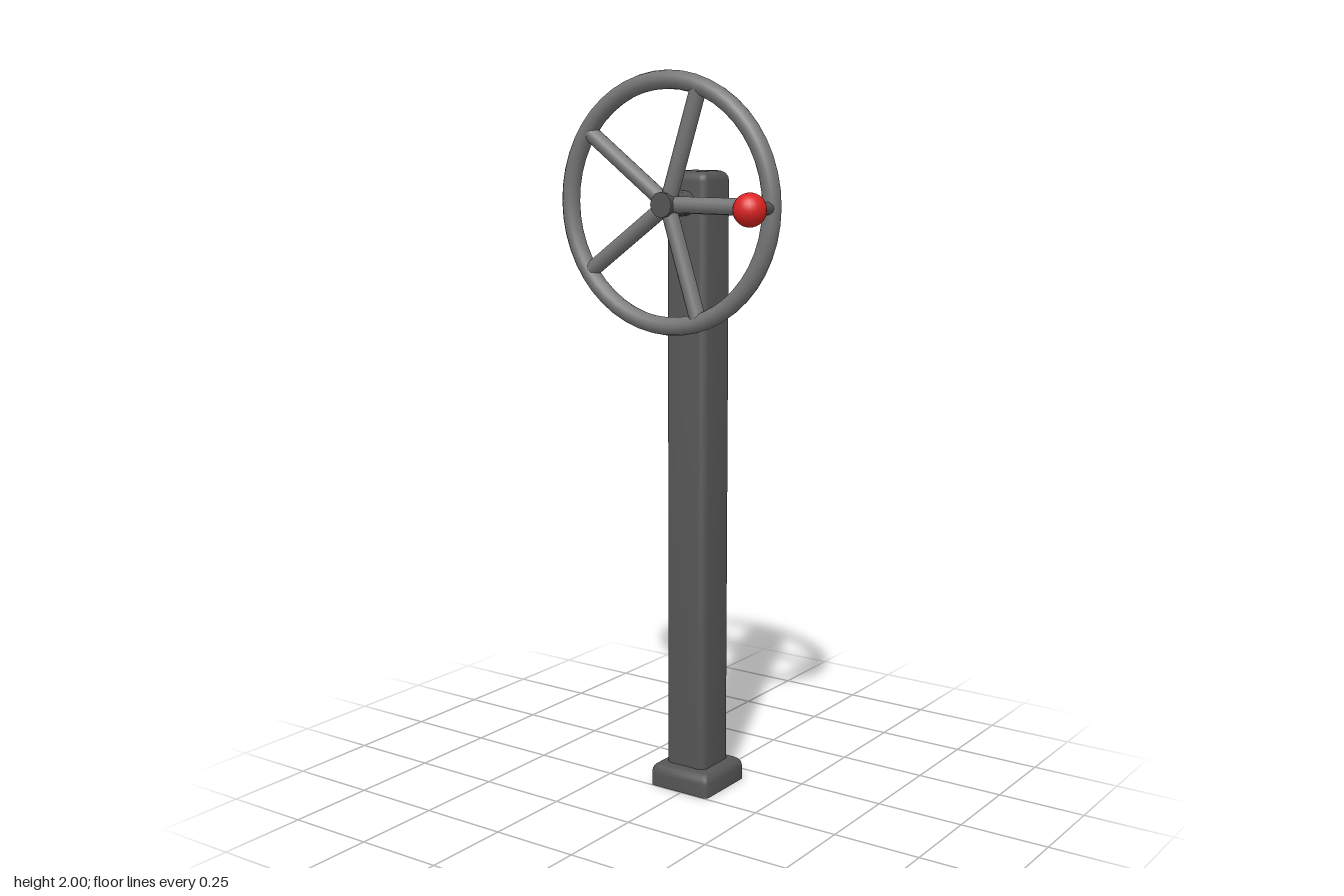
import * as THREE from 'three';
import { toCreasedNormals } from 'three/addons/utils/BufferGeometryUtils.js';

// Square prism with rounded corners, lofted through [inset, y] levels
function roundedPrism(half, corner, levels, steps = 4) {
  const pos = [], idx = [], n = 4 * (steps + 1);
  for (const [inset, y] of levels) {
    const h = half - inset, r = Math.max(corner - inset * 0.4, 0.004);
    for (let q = 0; q < 4; q++) {
      const mid = (q + 0.5) * Math.PI / 2;
      const cx = Math.sign(Math.cos(mid)) * (h - r), cz = Math.sign(Math.sin(mid)) * (h - r);
      for (let s = 0; s <= steps; s++) {
        const a = (q + s / steps) * Math.PI / 2;
        pos.push(cx + r * Math.cos(a), y, cz + r * Math.sin(a));
      }
    }
  }
  const last = (levels.length - 1) * n;
  for (let l = 0; l < last; l += n) {
    for (let i = 0; i < n; i++) {
      const j = (i + 1) % n;
      idx.push(l + i, l + n + i, l + j, l + j, l + n + i, l + n + j);
    }
  }
  // End caps
  for (let i = 1; i < n - 1; i++) {
    idx.push(0, i, i + 1, last, last + i + 1, last + i);
  }
  const g = new THREE.BufferGeometry();
  g.setAttribute('position', new THREE.Float32BufferAttribute(pos, 3));
  g.setIndex(idx);
  return toCreasedNormals(g, 0.6);
}

// Quarter-round edge ending at height top
function roundedTop(top, radius, steps = 4) {
  return Array.from({ length: steps + 1 }, (_, i) => {
    const a = i / steps * Math.PI / 2;
    return [radius * (1 - Math.cos(a)), top - radius * (1 - Math.sin(a))];
  });
}

export function createModel() {
  const model = new THREE.Group();
  model.name = 'handwheelPost';
  const postMat = new THREE.MeshStandardMaterial({ color: 0x555555 });
  const wheelMat = new THREE.MeshStandardMaterial({ color: 0x777777 });
  const redMat = new THREE.MeshStandardMaterial({ color: 0xdd2222 });

  const add = (parent, name, geometry, material, x = 0, y = 0, z = 0) => {
    const mesh = new THREE.Mesh(geometry, material);
    mesh.name = name;
    mesh.position.set(x, y, z);
    parent.add(mesh);
    return mesh;
  };

  // Foot and upright
  add(model, 'basePlate', roundedPrism(0.097, 0.014, [[0, 0], ...roundedTop(0.067, 0.028)]),
    postMat, -0.01, 0, -0.098);
  add(model, 'post', roundedPrism(0.065, 0.02, [[0, 0.03], ...roundedTop(1.74, 0.025)]),
    postMat, -0.01, 0, -0.098);

  // Wheel assembly, centred on its axle
  const wheel = new THREE.Group();
  wheel.name = 'wheel';
  wheel.position.set(-0.01, 1.655, 0.047);
  model.add(wheel);
  add(wheel, 'rim', new THREE.TorusGeometry(0.322, 0.0245, 12, 48), wheelMat);

  // Five spokes
  for (let i = 0; i < 5; i++) {
    const a = i * Math.PI * 2 / 5;
    const spoke = add(wheel, 'spoke', new THREE.CylinderGeometry(0.022, 0.022, 0.315, 12),
      wheelMat, 0.1575 * Math.cos(a), 0.1575 * Math.sin(a));
    spoke.rotation.z = a - Math.PI / 2;
  }

  // Axle from the post through the wheel
  const axle = add(wheel, 'axle',
    toCreasedNormals(new THREE.CylinderGeometry(0.034, 0.034, 0.15, 12), 0.7), postMat, 0, 0, -0.044);
  axle.rotation.x = Math.PI / 2;

  // Crank handle and knob
  const stem = add(wheel, 'handleStem', new THREE.CylinderGeometry(0.017, 0.017, 0.11, 12),
    postMat, 0.322, 0, 0.055);
  stem.rotation.x = Math.PI / 2;
  add(wheel, 'handleKnob', new THREE.SphereGeometry(0.043, 24, 16), redMat, 0.322, 0, 0.104);

  return model;
}
